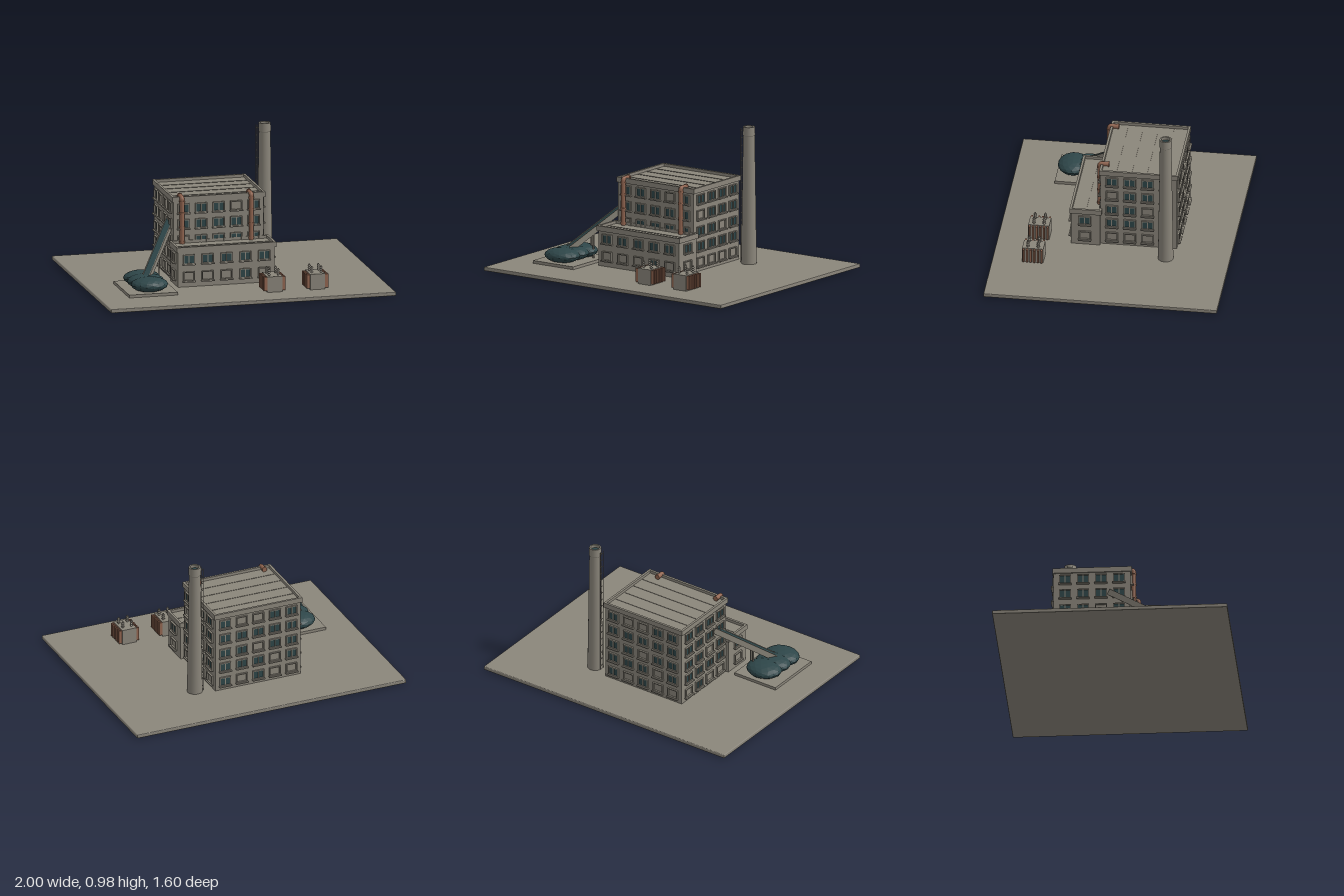
import * as THREE from 'three';
import { RoundedBoxGeometry } from 'three/addons/geometries/RoundedBoxGeometry.js';

export function createModel() {
  const model = new THREE.Group();
  model.name = 'powerStation';
  const material = (name, color) => {
    const m = new THREE.MeshStandardMaterial({ color });
    m.name = name;
    return m;
  };
  const concrete = material('concrete', 0x8b867b);
  const dark = material('dark slate', 0x2e4649);
  const rust = material('rust', 0x916550);
  const coal = dark.clone();
  coal.name = 'coal';
  coal.flatShading = true;

  const add = (parent, name, geometry, mat, x = 0, y = 0, z = 0) => {
    const mesh = new THREE.Mesh(geometry, mat);
    mesh.name = name;
    mesh.position.set(x, y, z);
    parent.add(mesh);
    return mesh;
  };
  const group = (name, x = 0, y = 0, z = 0, parent = model) => {
    const g = new THREE.Group();
    g.name = name;
    g.position.set(x, y, z);
    parent.add(g);
    return g;
  };
  // Box given by its lower and upper limits
  const span = (parent, name, mat, x0, x1, y0, y1, z0, z1) =>
    add(parent, name, new THREE.BoxGeometry(x1 - x0, y1 - y0, z1 - z0), mat,
      (x0 + x1) / 2, (y0 + y1) / 2, (z0 + z1) / 2);
  const rectangle = (path, x0, x1, y0, y1) => {
    path.moveTo(x0, y0).lineTo(x1, y0).lineTo(x1, y1).lineTo(x0, y1).closePath();
    return path;
  };
  // Rectangular frame with rectangular openings
  const frame = (w, h, holes, depth) => {
    const shape = rectangle(new THREE.Shape(), -w / 2, w / 2, -h / 2, h / 2);
    holes.forEach(([a, b, c, d]) => shape.holes.push(rectangle(new THREE.Path(), a, b, c, d)));
    return new THREE.ExtrudeGeometry(shape, { depth, bevelEnabled: false });
  };

  // Ground slab
  add(model, 'groundSlab', new RoundedBoxGeometry(2, 0.027, 1.6, 1, 0.006), concrete, 0, 0.0135, 0);

  // Windows: 1 is glazed, 0 is bricked up
  const glazedFrame = frame(0.082, 0.066, [[-0.034, -0.003, -0.026, 0.026], [0.003, 0.034, -0.026, 0.026]], 0.012);
  const blindFrame = frame(0.082, 0.066, [[-0.034, 0.034, -0.026, 0.026]], 0.012);
  const glass = new THREE.BoxGeometry(0.07, 0.054, 0.006);
  const sill = new THREE.BoxGeometry(0.09, 0.008, 0.022);
  const windows = (name, x, z, angle, spacing, heights, rows) => {
    const face = group(name, x, 0, z);
    face.rotation.y = angle;
    rows.forEach((row, r) => [...row].forEach((kind, c) => {
      const w = group('window', (c - (row.length - 1) / 2) * spacing, heights[r], 0, face);
      add(w, 'windowFrame', kind === '1' ? glazedFrame : blindFrame, concrete);
      add(w, 'windowSill', sill, concrete, 0, -0.035, 0.011);
      if (kind === '1') add(w, 'windowGlass', glass, dark, 0, 0, 0.002);
    }));
  };

  // Block with a raised parapet around its roof
  const block = (name, x0, x1, z0, z1, top, seams) => {
    const g = group(name);
    const w = x1 - x0, d = z1 - z0, cx = (x0 + x1) / 2, cz = (z0 + z1) / 2;
    span(g, 'walls', concrete, x0, x1, 0.02, top - 0.02, z0, z1);
    const pw = w + 0.018, pd = d + 0.018, t = 0.016;
    const parapet = add(g, 'parapet',
      frame(pw, pd, [[-pw / 2 + t, pw / 2 - t, -pd / 2 + t, pd / 2 - t]], 0.036), concrete, cx, top - 0.036, cz);
    parapet.rotation.x = -Math.PI / 2;
    for (let i = 1; i <= seams; i++)
      add(g, 'roofSeam', new THREE.BoxGeometry(w - 0.02, 0.003, 0.004), concrete, cx, top - 0.019, z0 + d * i / (seams + 1));
  };
  block('mainBuilding', -0.381, 0.253, -0.424, 0.098, 0.61, 4);
  block('frontAnnex', -0.4, 0.278, 0.098, 0.298, 0.305, 1);

  const floors = [0.527, 0.418, 0.305, 0.2, 0.09];
  windows('mainFrontWindows', -0.064, 0.098, 0, 0.123, floors, ['11101', '11111', '01111']);
  windows('mainRightWindows', 0.253, -0.163, Math.PI / 2, 0.1225, floors, ['1111', '0111', '1101', '1111', '0000']);
  windows('mainBackWindows', -0.064, -0.424, Math.PI, 0.123, floors, ['10011', '11111', '11011', '11101', '10100']);
  windows('mainLeftWindows', -0.381, -0.163, -Math.PI / 2, 0.1225, floors, ['1111', '1111', '1101', '1111', '0100']);
  const annexFloors = [0.219, 0.1];
  windows('annexFrontWindows', -0.061, 0.298, 0, 0.132, annexFloors, ['11111', '00010']);
  windows('annexRightWindows', 0.278, 0.203, Math.PI / 2, 0.1, annexFloors, ['1', '0']);
  windows('annexLeftWindows', -0.4, 0.203, -Math.PI / 2, 0.1, annexFloors, ['1', '0']);

  // Rusty pipes bending over the main roof
  for (const x of [-0.325, 0.16]) {
    const pipe = group('rustyPipe', x, 0, 0.117);
    const path = new THREE.CurvePath();
    const v = (y, z) => new THREE.Vector3(0, y, z);
    path.add(new THREE.LineCurve3(v(0.28, 0), v(0.592, 0)));
    path.add(new THREE.QuadraticBezierCurve3(v(0.592, 0), v(0.607, 0), v(0.607, -0.015)));
    path.add(new THREE.LineCurve3(v(0.607, -0.015), v(0.607, -0.064)));
    const tube = add(pipe, 'pipe', new THREE.TubeGeometry(path, 60, 0.016, 10), rust);
    tube.material = rust;
    for (const y of [0.3, 0.4, 0.5, 0.58])
      add(pipe, 'pipeBand', new THREE.CylinderGeometry(0.019, 0.019, 0.01, 10), rust, 0, y, 0);
    const end = add(pipe, 'pipeEnd', new THREE.CylinderGeometry(0.019, 0.019, 0.012, 10), rust, 0, 0.607, -0.06);
    end.rotation.x = Math.PI / 2;
  }

  // Chimney with a collar, a dark flue and a ladder
  const chimney = group('chimney', 0.38, 0, -0.365);
  const profile = [[0.053, 0.02], [0.04, 0.915], [0.04, 0.915], [0.043, 0.92], [0.043, 0.92], [0.041, 0.977],
    [0.041, 0.977], [0.03, 0.977], [0.03, 0.977], [0.03, 0.95]].map(([r, y]) => new THREE.Vector2(r, y));
  add(chimney, 'chimneyStack', new THREE.LatheGeometry(profile, 20), concrete);
  const flue = add(chimney, 'chimneyFlue', new THREE.CircleGeometry(0.031, 20), dark, 0, 0.955, 0);
  flue.rotation.x = -Math.PI / 2;
  const ladder = group('ladder', -0.056, 0, 0, chimney);
  for (const z of [-0.016, 0.016])
    span(ladder, 'ladderRail', concrete, -0.002, 0.002, 0.03, 0.96, z - 0.002, z + 0.002);
  for (let i = 0; i < 18; i++) {
    const y = 0.06 + i * 0.052;
    add(ladder, 'ladderRung', new THREE.BoxGeometry(0.003, 0.003, 0.032), concrete, 0, y, 0);
    if (i % 4 === 1) span(ladder, 'ladderBracket', concrete, 0, 0.02, y - 0.002, y + 0.002, -0.002, 0.002);
  }

  // Coal store
  span(model, 'coalPad', concrete, -0.797, -0.457, 0.02, 0.047, 0.09, 0.51);
  for (const z of [0.197, 0.3, 0.403]) {
    const heap = add(model, 'coalHeap', new THREE.IcosahedronGeometry(1, 2), coal, -0.628, 0.088, z);
    heap.scale.set(0.128, 0.05, 0.108);
  }

  // Sloping conveyor from the coal to the main building
  const start = new THREE.Vector3(-0.625, 0.12, 0.32), finish = new THREE.Vector3(-0.365, 0.425, -0.035);
  const length = start.distanceTo(finish);
  const conveyor = group('conveyor');
  conveyor.position.lerpVectors(start, finish, 0.5);
  conveyor.lookAt(finish);
  add(conveyor, 'conveyorTrough', new THREE.BoxGeometry(0.055, 0.03, length), concrete, 0, -0.005, 0);
  add(conveyor, 'conveyorBelt', new THREE.BoxGeometry(0.045, 0.008, length - 0.004), dark, 0, 0.013, 0);
  for (const x of [-0.025, 0.025])
    add(conveyor, 'conveyorRail', new THREE.BoxGeometry(0.006, 0.012, length), concrete, x, 0.015, 0);
  for (const s of [-1, 1])
    span(model, 'conveyorLeg', concrete, -0.534 + s * 0.018, -0.526 + s * 0.018, 0.02, 0.21,
      0.186 + s * 0.013, 0.194 + s * 0.013);

  // Transformers with cooling fins and ribbed insulators
  for (const x of [0.203, 0.503]) {
    const t = group('transformer', x, 0, 0.522);
    span(t, 'transformerTank', concrete, -0.052, 0.052, 0.02, 0.135, -0.072, 0.072);
    for (const s of [-1, 1]) {
      for (let i = 0; i < 6; i++)
        add(t, 'coolingFin', new THREE.BoxGeometry(0.024, 0.095, 0.012), rust, s * 0.063, 0.084, -0.062 + i * 0.0248);
      for (const z of [-0.035, 0.035]) {
        add(t, 'insulator', new THREE.CylinderGeometry(0.006, 0.006, 0.05, 8), concrete, s * 0.032, 0.158, z);
        for (let i = 0; i < 3; i++)
          add(t, 'insulatorDisc', new THREE.CylinderGeometry(0.009, 0.012, 0.005, 8), concrete, s * 0.032, 0.145 + i * 0.014, z);
      }
    }
  }
  return model;
}
